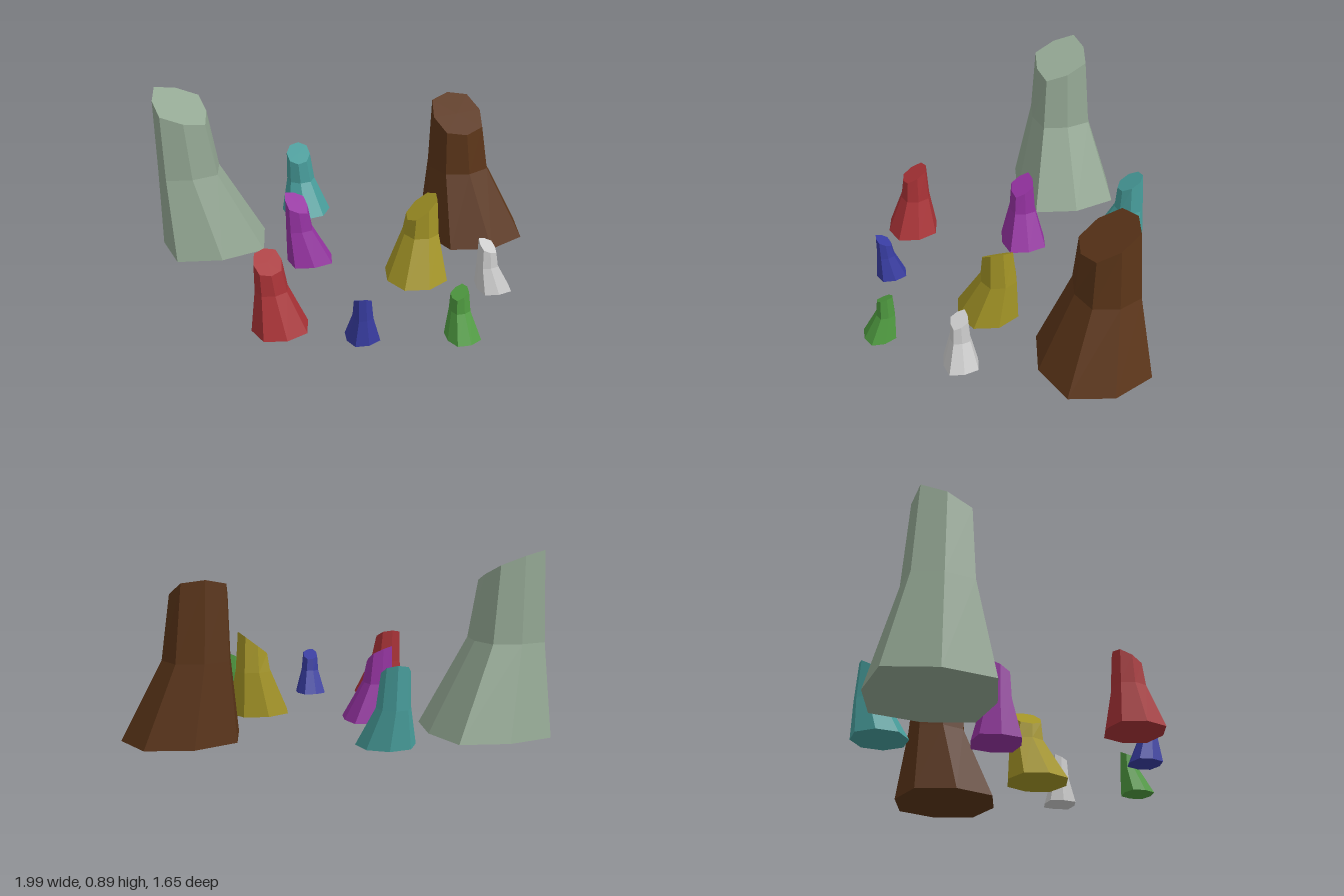
import * as THREE from 'three';

const SIDES = 8;

// Octagonal ring around [x, y, z]; every second corner is pushed out by `square`,
// and the ring plane is sheared by slope [dy/dx, dy/dz].
function ring([x, y, z], r, turn, square, slope = [0, 0]) {
  const points = [];
  for (let i = 0; i < SIDES; i++) {
    const a = turn + (i / SIDES) * Math.PI * 2;
    const k = i % 2 ? r * square : r;
    const dx = Math.cos(a) * k, dz = -Math.sin(a) * k;
    points.push([x + dx, y + dx * slope[0] + dz * slope[1], z + dz]);
  }
  return points;
}

// Leaning faceted stump: wide foot, narrow waist, slanted top
function stumpGeometry({ foot, waist, top, r, slope, turn = 0, square = 1.1 }) {
  const a = turn * Math.PI / 180;
  const rings = [
    ring(foot, r, a, square),
    ring(waist, r * 0.575, a, square),
    ring(top, r * 0.485, a, square, slope),
  ];
  const pos = [];
  const tri = (...corners) => corners.forEach((c) => pos.push(...c));
  for (let i = 0; i < SIDES; i++) {
    const j = (i + 1) % SIDES;
    for (let k = 0; k < 2; k++) {
      const lo = rings[k], hi = rings[k + 1];
      tri(lo[i], lo[j], hi[j]);
      tri(lo[i], hi[j], hi[i]);
    }
    tri(rings[2][i], rings[2][j], top);
    tri(rings[0][j], rings[0][i], foot);
  }
  const g = new THREE.BufferGeometry();
  g.setAttribute('position', new THREE.Float32BufferAttribute(pos, 3));
  g.computeVertexNormals();
  return g;
}

const STUMPS = [
  { name: 'tallSageStump', color: 0x93a793, r: 0.285, square: 1.17, slope: [-0.3, -0.37],
    foot: [-0.715, 0.01, -0.535], waist: [-0.825, 0.45, -0.535], top: [-0.845, 0.81, -0.535] },
  { name: 'largeBrownStump', color: 0x5a3418, r: 0.283, turn: 3.5, square: 1.08, slope: [0, -0.55],
    foot: [0.712, 0.01, -0.24], waist: [0.645, 0.39, -0.31], top: [0.63, 0.69, -0.31] },
  { name: 'tealStump', color: 0x479c9a, r: 0.139, turn: -13, square: 1.02, slope: [0.1, -0.6],
    foot: [-0.15, 0.02, -0.69], waist: [-0.165, 0.2, -0.745], top: [-0.175, 0.36, -0.745] },
  { name: 'purpleStump', color: 0x9432a0, r: 0.122, square: 1.17, slope: [-0.35, -0.55],
    foot: [-0.255, 0.01, -0.157], waist: [-0.305, 0.2, -0.165], top: [-0.315, 0.345, -0.165] },
  { name: 'yellowStump', color: 0xa39426, r: 0.164, turn: 7, square: 1.05, slope: [0.78, 0],
    foot: [0.242, 0.01, 0.172], waist: [0.28, 0.24, 0.122], top: [0.28, 0.385, 0.127] },
  { name: 'redStump', color: 0xa83236, r: 0.14, turn: 3, square: 1.08, slope: [0, -0.55],
    foot: [-0.537, 0.01, 0.425], waist: [-0.565, 0.21, 0.395], top: [-0.575, 0.35, 0.39] },
  { name: 'blueStump', color: 0x383ca0, r: 0.081, turn: 8, square: 1.12, slope: [-0.15, 0.6],
    foot: [-0.177, 0, 0.61], waist: [-0.18, 0.13, 0.63], top: [-0.183, 0.22, 0.635] },
  { name: 'greenStump', color: 0x4f9a40, r: 0.081, turn: 10, square: 1.12, slope: [0.5, -0.25],
    foot: [0.28, 0, 0.74], waist: [0.275, 0.13, 0.7], top: [0.272, 0.222, 0.697] },
  { name: 'paleStump', color: 0xcccccc, r: 0.086, square: 1.18, slope: [-0.35, -0.48],
    foot: [0.585, 0.01, 0.39], waist: [0.55, 0.145, 0.382], top: [0.545, 0.253, 0.382] },
];

export function createModel() {
  const model = new THREE.Group();
  model.name = 'stumpField';
  for (const s of STUMPS) {
    const material = new THREE.MeshStandardMaterial({ color: s.color, flatShading: true });
    const mesh = new THREE.Mesh(stumpGeometry(s), material);
    mesh.name = s.name;
    model.add(mesh);
  }
  return model;
}
